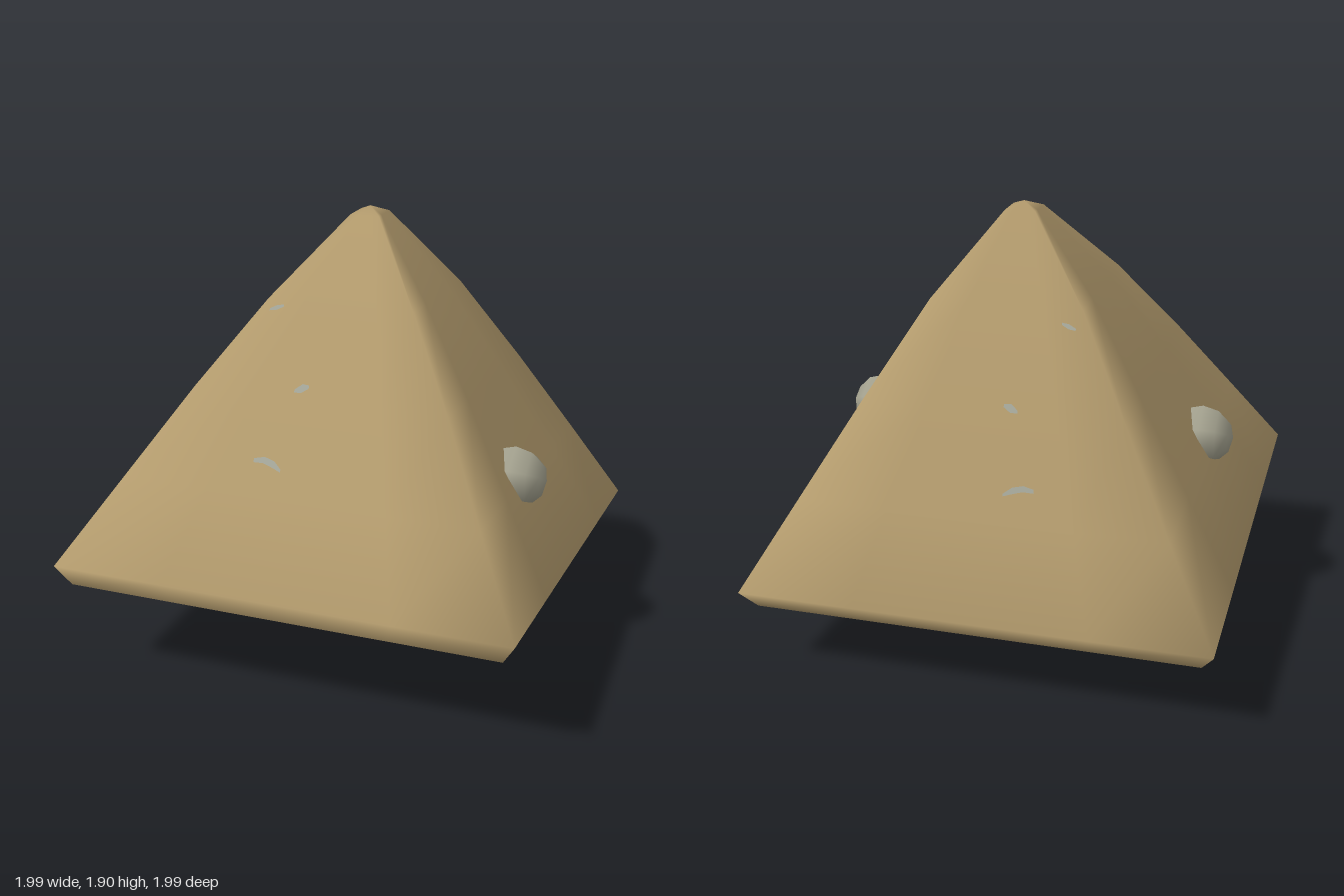
import * as THREE from 'three';

const mat = (name, color) => Object.assign(new THREE.MeshStandardMaterial({ color }), { name });

// Body rings, bottom to top: half width, front z, front y, back z, back y
const RINGS = [
  [0.94, 0.95, 0.425, -0.93, 0.285],
  [0.995, 0.995, 0.52, -0.995, 0.37],
  [0.78, 0.75, 0.86, -0.82, 0.745],
  [0.56, 0.49, 1.21, -0.63, 1.13],
  [0.325, 0.235, 1.55, -0.41, 1.53],
  [0.065, -0.06, 1.87, -0.195, 1.87],
];
const SEG = 4; // divisions along each side of the square

function ringPoints([hx, zf, yf, zb, yb]) {
  const corners = [[hx, yf, zf], [hx, yb, zb], [-hx, yb, zb], [-hx, yf, zf]]
    .map((c) => new THREE.Vector3(...c));
  const pts = [];
  for (let s = 0; s < 4; s++)
    for (let i = 0; i < SEG; i++)
      pts.push(corners[s].clone().lerp(corners[(s + 1) % 4], i / SEG));
  return pts;
}

function indexed(points, index) {
  const g = new THREE.BufferGeometry().setFromPoints(points);
  g.setIndex(index);
  g.computeVertexNormals();
  return g;
}

function bodyGeometry() {
  const n = SEG * 4, points = RINGS.flatMap(ringPoints), index = [];
  for (let r = 0; r < RINGS.length - 1; r++)
    for (let i = 0; i < n; i++) {
      const a = r * n + i, b = r * n + (i + 1) % n;
      index.push(a, b, b + n, a, b + n, a + n);
    }
  // Blunt tip
  const tip = points.length, top = tip - n;
  points.push(new THREE.Vector3(0, 1.9, -0.13));
  for (let i = 0; i < n; i++) index.push(top + i, top + (i + 1) % n, tip);
  return indexed(points, index);
}

function undersideGeometry() {
  const points = ringPoints(RINGS[0]), n = points.length, index = [];
  points.push(new THREE.Vector3(0, 0.28, 0));
  for (let i = 0; i < n; i++) index.push((i + 1) % n, i, n);
  return indexed(points, index);
}

// Depth of the front (side = 1) or back (side = -1) face at height y
function faceZ(y, side) {
  const [zi, yi] = side > 0 ? [1, 2] : [3, 4];
  let r = 1;
  while (r < RINGS.length - 2 && RINGS[r + 1][yi] < y) r++;
  const a = RINGS[r], b = RINGS[r + 1];
  return THREE.MathUtils.mapLinear(y, a[yi], b[yi], a[zi], b[zi]) + side * 0.006;
}

// Thin curved sliver lying on a face; spine points are [x, y, half height]
function sliverGeometry(spine, side) {
  const points = [], index = [];
  spine.forEach(([x, y, h], i) => {
    for (const yy of [y - h, y + h]) points.push(new THREE.Vector3(x, yy, faceZ(yy, side)));
    if (i === 0) return;
    const a = 2 * i - 2;
    if (side > 0) index.push(a, a + 2, a + 3, a, a + 3, a + 1);
    else index.push(a, a + 3, a + 2, a, a + 1, a + 3);
  });
  return indexed(points, index);
}

export function createModel() {
  const tan = mat('tan body', 0xb39b6d);
  const pale = mat('pale grey', 0xa5a390);
  const dark = mat('dark brown grey', 0x5c504c);
  const markMat = mat('mark grey', 0xa3a598);
  markMat.side = THREE.DoubleSide;

  const model = new THREE.Group();
  const add = (name, geometry, material, parent = model) => {
    const mesh = new THREE.Mesh(geometry, material);
    mesh.name = name;
    parent.add(mesh);
    return mesh;
  };

  add('body', bodyGeometry(), tan);
  add('underside', undersideGeometry(), tan);

  // Small marks on the front and back faces
  const marks = [
    [[-0.305, 1.512, 0.004], [-0.275, 1.521, 0.009], [-0.245, 1.53, 0.004]],
    [[-0.11, 1.237, 0.005], [-0.08, 1.248, 0.016], [-0.05, 1.256, 0.006]],
    [[-0.215, 0.985, 0.007], [-0.17, 0.99, 0.011], [-0.125, 0.979, 0.012], [-0.09, 0.961, 0.005]],
  ];
  const backDrop = [0.05, 0.085, 0.11];
  marks.forEach((m, i) => {
    add('frontMark', sliverGeometry(m, 1), markMat);
    add('backMark', sliverGeometry(m.map(([x, y, h]) => [x, y - backDrop[i], h]), -1), markMat);
  });

  for (const side of [1, -1]) {
    const label = side > 0 ? 'left' : 'right';

    // Rounded six-sided hand
    const hand = add(label + 'Hand', new THREE.SphereGeometry(0.138, 6, 6), pale);
    hand.rotation.z = -side * Math.PI / 2;
    hand.position.set(side * 0.747, 0.837, 0.11);

    // Leg with dark upper part and pale foot
    const leg = new THREE.Group();
    leg.name = label + 'Leg';
    leg.position.set(side * 0.138, 0, 0.073);
    model.add(leg);
    add('upperLeg', new THREE.CylinderGeometry(0.092, 0.082, 0.17, 12), dark, leg).position.y = 0.255;
    const profile = [[0, 0], [0.07, 0], [0.079, 0.015], [0.076, 0.09], [0.082, 0.17]]
      .map((p) => new THREE.Vector2(...p));
    add('foot', new THREE.LatheGeometry(profile, 12), pale, leg);
    const toe = add('toe', new THREE.SphereGeometry(1, 12, 8), pale, leg);
    toe.scale.set(0.074, 0.042, 0.06);
    toe.position.set(0, 0.042, -0.046);
  }
  return model;
}
